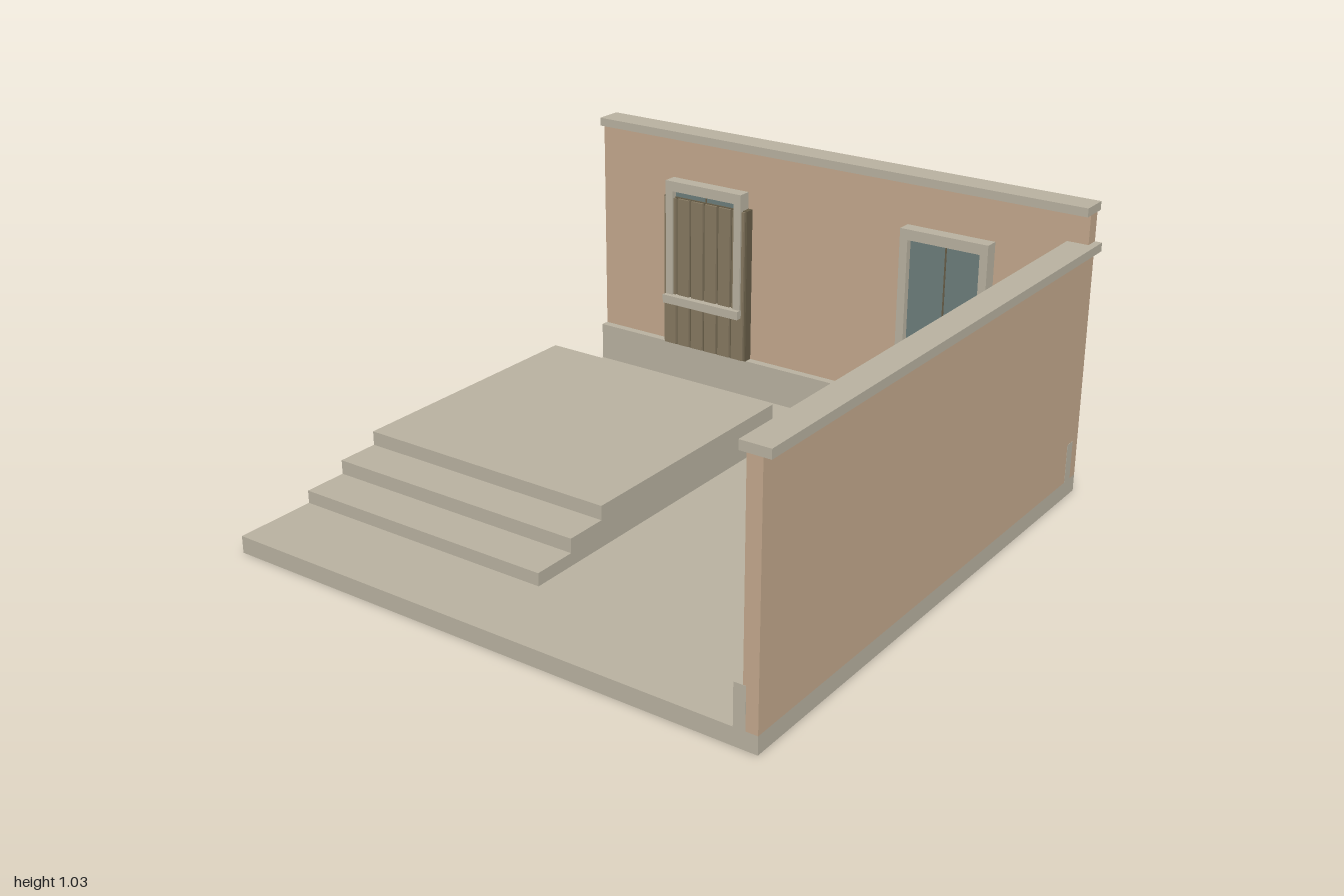
import * as THREE from 'three';

export function createModel() {
  const root = new THREE.Group();
  root.name = 'courtyard';
  const paint = (color) => new THREE.MeshStandardMaterial({ color });
  const plaster = paint(0xc2a78c);
  const concrete = paint(0xb7b09f);
  const wood = paint(0x857860);
  const darkWood = paint(0x665c46);
  const glass = paint(0x6b7c7a);

  // Box given by its lower and upper corner
  function block(name, mat, [x0, y0, z0], [x1, y1, z1], parent = root) {
    const mesh = new THREE.Mesh(new THREE.BoxGeometry(x1 - x0, y1 - y0, z1 - z0), mat);
    mesh.position.set((x0 + x1) / 2, (y0 + y1) / 2, (z0 + z1) / 2);
    mesh.name = name;
    parent.add(mesh);
    return mesh;
  }

  // Ground slab
  block('floorSlab', concrete, [-1, 0, -0.975], [0.975, 0.06, 1]);

  // Walls with overhanging copings
  block('backWall', plaster, [-1, 0.06, -0.975], [0.975, 1.0, -0.925]);
  block('backCoping', concrete, [-1, 1.0, -1], [0.975, 1.03, -0.9]);
  block('sideWall', plaster, [0.925, 0.06, -0.975], [0.975, 0.87, 1]);
  block('sideCoping', concrete, [0.9, 0.87, -0.975], [1, 0.9, 1]);

  // Plinths running through the foot of both walls
  block('backPlinth', concrete, [-1.001, 0.06, -0.935], [0.976, 0.2, -0.895]);
  block('sidePlinth', concrete, [0.895, 0.06, -0.976], [0.935, 0.2, 1.001]);

  // Pilasters on the inner face of the side wall
  for (const z of [-0.48, 0.525]) {
    block('pilaster', concrete, [0.895, 0.2, z - 0.027], [0.93, 0.835, z + 0.027]);
  }

  // Terrace and its two lower steps
  block('terrace', concrete, [-1, 0.06, -0.6], [-0.015, 0.205, 0.39]);
  block('upperStep', concrete, [-1, 0.06, 0.39], [-0.015, 0.155, 0.545]);
  block('lowerStep', concrete, [-1, 0.06, 0.545], [-0.015, 0.105, 0.705]);

  // Plank door: dark backing with six raised boards
  const door = new THREE.Group();
  door.name = 'door';
  root.add(door);
  block('doorBacking', darkWood, [-0.695, 0.2, -0.93], [-0.325, 0.785, -0.89], door);
  for (let i = 0; i < 6; i++) {
    const x = -0.689 + i * 0.061;
    block('doorPlank', wood, [x, 0.203, -0.9], [x + 0.051, 0.782, -0.881], door);
  }

  // Window: frame, projecting sill and two panes
  function addWindow(cx) {
    const group = new THREE.Group();
    group.name = 'window';
    group.position.x = cx;
    root.add(group);
    const back = -0.93, front = -0.873;
    block('lintel', concrete, [-0.167, 0.81, back], [0.167, 0.848, front], group);
    block('sill', concrete, [-0.169, 0.372, back], [0.169, 0.404, -0.855], group);
    for (const s of [-1, 1]) {
      const jamb = block('jamb', concrete, [-0.015, 0.404, back], [0.015, 0.81, front], group);
      jamb.position.x = s * 0.152;
      const pane = block('pane', glass, [-0.067, 0.404, back], [0.067, 0.81, -0.897], group);
      pane.position.x = s * 0.07;
    }
    block('mullion', darkWood, [-0.003, 0.404, back], [0.003, 0.805, -0.896], group);
  }
  addWindow(-0.51);
  addWindow(0.479);

  return root;
}
